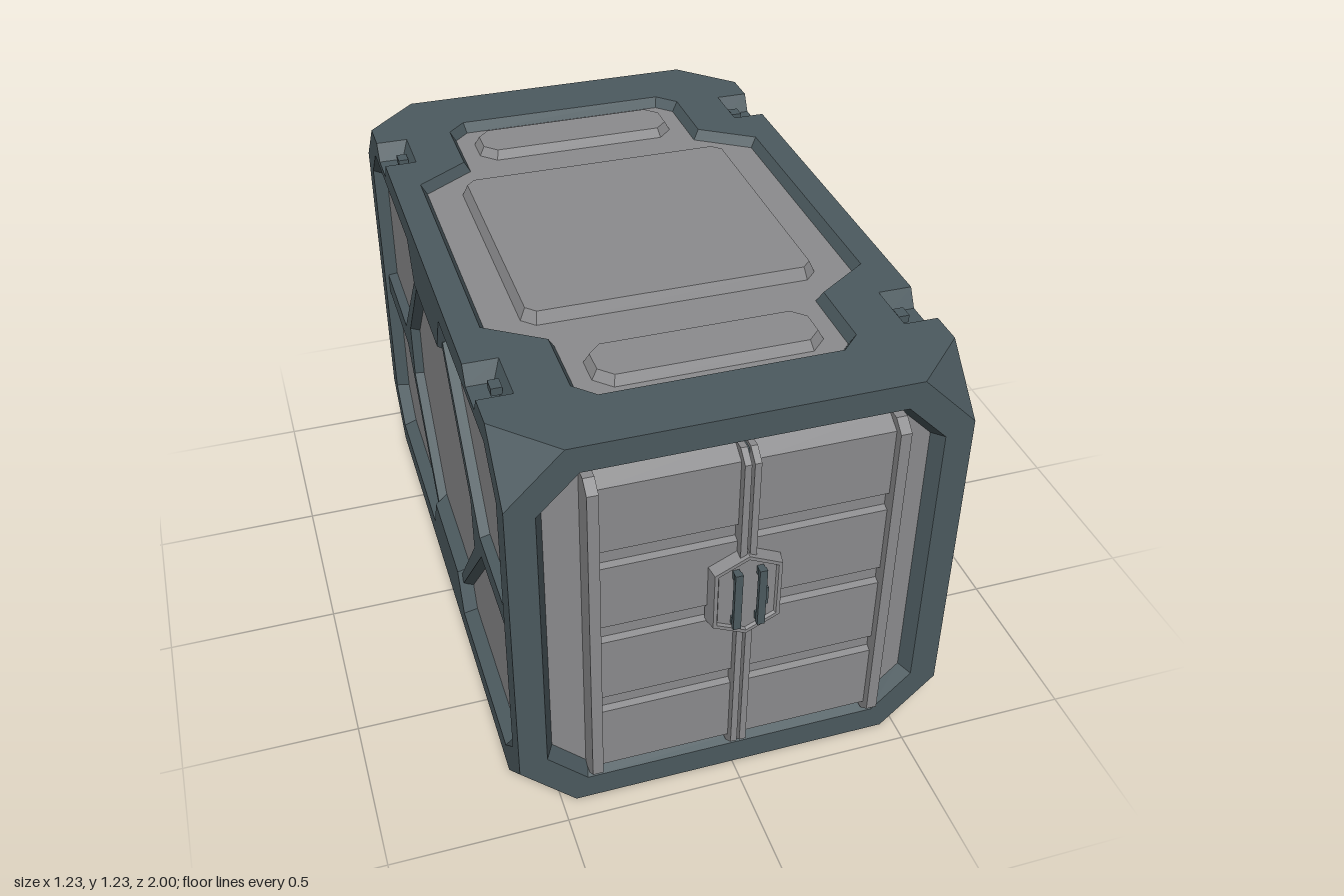
import * as THREE from 'three';

const W = 0.615, H = 1.23, L = 0.9675, Z0 = -0.0325; // half width, height, half length, centre z
const C = 0.155;                                     // corner cut
const NOTCH = 0.635, NX = 0.52;                      // lifting notch position and inner edge

const steel = new THREE.MeshStandardMaterial({ color: 0x4c5a5f });
steel.name = 'slate frame';
const grey = new THREE.MeshStandardMaterial({ color: 0x8c8c8e });
grey.name = 'grey panel';

const toShape = (pts) => new THREE.Shape(pts.map(([x, y]) => new THREE.Vector2(x, y)));
const turned = (pts) => pts.map(([x, y]) => [-x, -y]);

function add(parent, name, geometry, material, x = 0, y = 0, z = 0) {
  const mesh = new THREE.Mesh(geometry, material);
  mesh.name = name;
  mesh.position.set(x, y, z);
  parent.add(mesh);
  return mesh;
}

function place(parent, name, pos, rot = [0, 0, 0]) {
  const g = new THREE.Group();
  g.name = name;
  g.position.set(...pos);
  g.rotation.set(...rot);
  parent.add(g);
  return g;
}

// Rectangle with cut corners, counter-clockwise
const octagon = (x0, y0, x1, y1, c) => [
  [x0 + c, y0], [x1 - c, y0], [x1, y0 + c], [x1, y1 - c],
  [x1 - c, y1], [x0 + c, y1], [x0, y1 - c], [x0, y0 + c]];

// Moves every edge of a counter-clockwise loop inward by d
function inset(pts, d) {
  const n = pts.length;
  const normal = (a, b) => {
    const l = Math.hypot(b[0] - a[0], b[1] - a[1]);
    return [-(b[1] - a[1]) / l, (b[0] - a[0]) / l];
  };
  return pts.map((p, i) => {
    const a = normal(pts[(i + n - 1) % n], p), b = normal(p, pts[(i + 1) % n]);
    const k = d / (1 + a[0] * b[0] + a[1] * b[1]);
    return [p[0] + (a[0] + b[0]) * k, p[1] + (a[1] + b[1]) * k];
  });
}

function fromTriangles(v) {
  const g = new THREE.BufferGeometry();
  g.setAttribute('position', new THREE.Float32BufferAttribute(v, 3));
  g.computeVertexNormals();
  return g;
}

// Band of flat quads between two loops at different heights
function band(a, za, b, zb, open = false) {
  const v = [], n = a.length;
  for (let i = 0; i < (open ? n - 1 : n); i++) {
    const j = (i + 1) % n;
    const p = [...a[i], za], q = [...a[j], za], r = [...b[j], zb], s = [...b[i], zb];
    v.push(...p, ...q, ...r, ...p, ...r, ...s);
  }
  return fromTriangles(v);
}

// Raised block with bevelled sides
function raised(parent, name, loop, z0, z1, bevel, material) {
  const top = inset(loop, bevel);
  add(parent, name + 'Sides', band(loop, z0, top, z1), material);
  add(parent, name + 'Face', new THREE.ShapeGeometry(toShape(top)), material, 0, 0, z1);
}

// Flat frame with a sloped pocket and a panel at its floor
function pocket(parent, name, outer, hole, depth, slope, frameMat, panelMat) {
  const shape = toShape(outer), floor = inset(hole, slope);
  shape.holes.push(toShape(hole));
  add(parent, name + 'Frame', new THREE.ShapeGeometry(shape), frameMat);
  add(parent, name + 'PocketWall', band(hole, 0, floor, -depth), frameMat);
  add(parent, name + 'Panel', new THREE.ShapeGeometry(toShape(floor)), panelMat, 0, 0, -depth);
}

// Outline in (z, y) drawn across the x range x0..x1
function crossBar(parent, name, profile, x0, x1, material) {
  const g = new THREE.ExtrudeGeometry(toShape(profile), { depth: x1 - x0, bevelEnabled: false });
  add(parent, name, g, material, x1).rotation.y = -Math.PI / 2;
}

function buildSide(root, name, s) {
  const g = place(root, name, [s * W, 0, Z0], [0, s * Math.PI / 2, 0]);
  const dip = (u) => [[u + 0.08, H], [u + 0.05, H - 0.05], [u - 0.05, H - 0.05], [u - 0.08, H]];
  const outer = [[-L + C, 0], [L - C, 0], [L, C], [L, H - C], [L - C, H],
    ...dip(NOTCH), ...dip(-NOTCH), [-L + C, H], [-L, H - C], [-L, C]];
  const half = [[-0.785, -0.54], [-0.23, -0.54], [-0.17, -0.42], [0.17, -0.42],
    [0.23, -0.54], [0.785, -0.54], [0.89, -0.433], [0.89, 0.433]];
  const hole = [...half, ...turned(half)].map(([u, v]) => [u, v + H / 2]);
  pocket(g, name, outer, hole, 0.04, 0.022, steel, grey);
  // Y-shaped braces around the middle panel
  const brace = [[-0.9, -0.046], [-0.557, -0.046], [-0.2, -0.46], [-0.15, -0.44], [-0.437, -0.083],
    [-0.437, 0.083], [-0.15, 0.44], [-0.2, 0.46], [-0.557, 0.046], [-0.9, 0.046]];
  for (const loop of [brace, turned(brace)])
    raised(g, 'brace', loop.map(([u, v]) => [u, v + H / 2]), -0.04, -0.012, 0.012, steel);
}

function buildRoof(root) {
  const g = place(root, 'roof', [0, H, Z0], [-Math.PI / 2, 0, 0]);
  const bite = (v) => [[W, v - 0.08], [NX, v - 0.08], [NX, v + 0.08], [W, v + 0.08]];
  const halfOuter = [[-W + C, -L], [W - C, -L], [W, -L + C], ...bite(-NOTCH), ...bite(NOTCH), [W, L - C]];
  const halfHole = [[-0.325, -0.78], [0.325, -0.78], [0.38, -0.725], [0.38, -0.51],
    [0.535, -0.405], [0.535, 0.405], [0.38, 0.51], [0.38, 0.725]];
  pocket(g, 'roof', [...halfOuter, ...turned(halfOuter)], [...halfHole, ...turned(halfHole)],
    0.03, 0.017, steel, grey);
  raised(g, 'roofPlate', octagon(-0.418, -0.395, 0.418, 0.395, 0.035), -0.03, 0.004, 0.015, grey);
  for (const s of [1, -1]) {
    const [y0, y1] = s > 0 ? [0.55, 0.722] : [-0.722, -0.55];
    raised(g, 'endPlate', octagon(-0.312, y0, 0.312, y1, 0.045), -0.03, -0.003, 0.015, grey);
  }
  // Lifting notches in the long edges
  for (const s of [1, -1]) for (const v of [NOTCH, -NOTCH]) {
    const rim = [[W, v + 0.08], [NX, v + 0.08], [NX, v - 0.08], [W, v - 0.08]];
    const floor = [[W, v + 0.05], [NX + 0.022, v + 0.05], [NX + 0.022, v - 0.05], [W, v - 0.05]];
    const [a, b] = s > 0 ? [rim, floor] : [turned(rim), turned(floor)];
    add(g, 'notchWall', band(a, 0, b, -0.05, true), steel);
    add(g, 'notchFloor', new THREE.ShapeGeometry(toShape(b)), steel, 0, 0, -0.05);
    add(g, 'notchLug', new THREE.BoxGeometry(0.03, 0.04, 0.022), steel, s * (NX + 0.03), s * v, -0.03);
  }
}

function buildDoors(g) {
  // Door leaf with three horizontal grooves
  const leaf = [[-0.04, 0.105], [0.01, 0.13]];
  for (const y of [0.335, 0.59, 0.845])
    leaf.push([0.01, y], [-0.008, y + 0.006], [-0.008, y + 0.043], [0.01, y + 0.055]);
  leaf.push([0.01, 1.1], [-0.04, 1.13]);
  const post = [[-0.04, 0.095], [0, 0.095], [0.035, 0.125], [0.035, 1.105], [0, 1.135], [-0.04, 1.135]];
  for (const s of [1, -1]) {
    const bar = (name, profile, a, b) =>
      crossBar(g, name, profile, Math.min(s * a, s * b), Math.max(s * a, s * b), grey);
    bar('doorLeaf', leaf, 0.02, 0.395);
    bar('hingePost', post, 0.39, 0.42);
    bar('centrePost', post, 0.004, 0.022);
    // Pull handle on two stand-offs
    add(g, 'handleGrip', new THREE.BoxGeometry(0.021, 0.185, 0.014), steel, s * 0.033, 0.683, 0.058);
    for (const y of [0.605, 0.761])
      add(g, 'handleStandoff', new THREE.BoxGeometry(0.018, 0.025, 0.02), steel, s * 0.033, y, 0.045);
  }
  add(g, 'doorSeal', new THREE.BoxGeometry(0.008, 1.02, 0.03), steel, 0, 0.615, -0.02);
  add(g, 'latchKnob', new THREE.BoxGeometry(0.012, 0.055, 0.02), steel, 0.045, 0.683, 0.05);
  // Hexagonal lock plate
  const lock = place(g, 'lockPlate', [0, 0, 0.045]);
  const hex = [[0, 0.54], [0.1, 0.588], [0.1, 0.777], [0, 0.825], [-0.1, 0.777], [-0.1, 0.588]];
  const top = inset(hex, 0.008);
  add(lock, 'lockSides', band(hex, -0.045, top, 0), grey);
  pocket(lock, 'lock', top, inset(hex, 0.018), 0.008, 0.004, grey, grey);
}

export function createModel() {
  const root = new THREE.Group();
  root.name = 'cargoContainer';

  const front = place(root, 'front', [0, 0, Z0 + L]);
  const back = place(root, 'back', [0, 0, Z0 - L], [0, Math.PI, 0]);
  for (const g of [front, back])
    pocket(g, g.name, octagon(-W, 0, W, H, C), octagon(-0.537, 0.077, 0.537, 1.154, 0.112),
      0.04, 0.023, steel, grey);
  buildDoors(front);
  for (const y of [0.185, 0.665])
    raised(back, 'backPlate', octagon(-0.42, y, 0.42, y + 0.38, 0.045), -0.04, -0.01, 0.022, grey);

  buildSide(root, 'leftSide', 1);
  buildSide(root, 'rightSide', -1);
  buildRoof(root);

  // Underside
  const under = place(root, 'underside', [0, 0, Z0], [Math.PI / 2, 0, 0]);
  add(under, 'floor', new THREE.ShapeGeometry(toShape(octagon(-W, -L, W, L, C))), steel);

  // Cut corners
  for (const x of [1, -1]) for (const y of [1, -1]) for (const z of [1, -1]) {
    const h = H / 2;
    const a = [x * (W - C), y * h, z * L], b = [x * W, y * (h - C), z * L], c = [x * W, y * h, z * (L - C)];
    const tri = x * y * z > 0 ? [a, b, c] : [a, c, b];
    add(root, 'corner', fromTriangles(tri.flat()), steel, 0, h, Z0);
  }
  return root;
}
